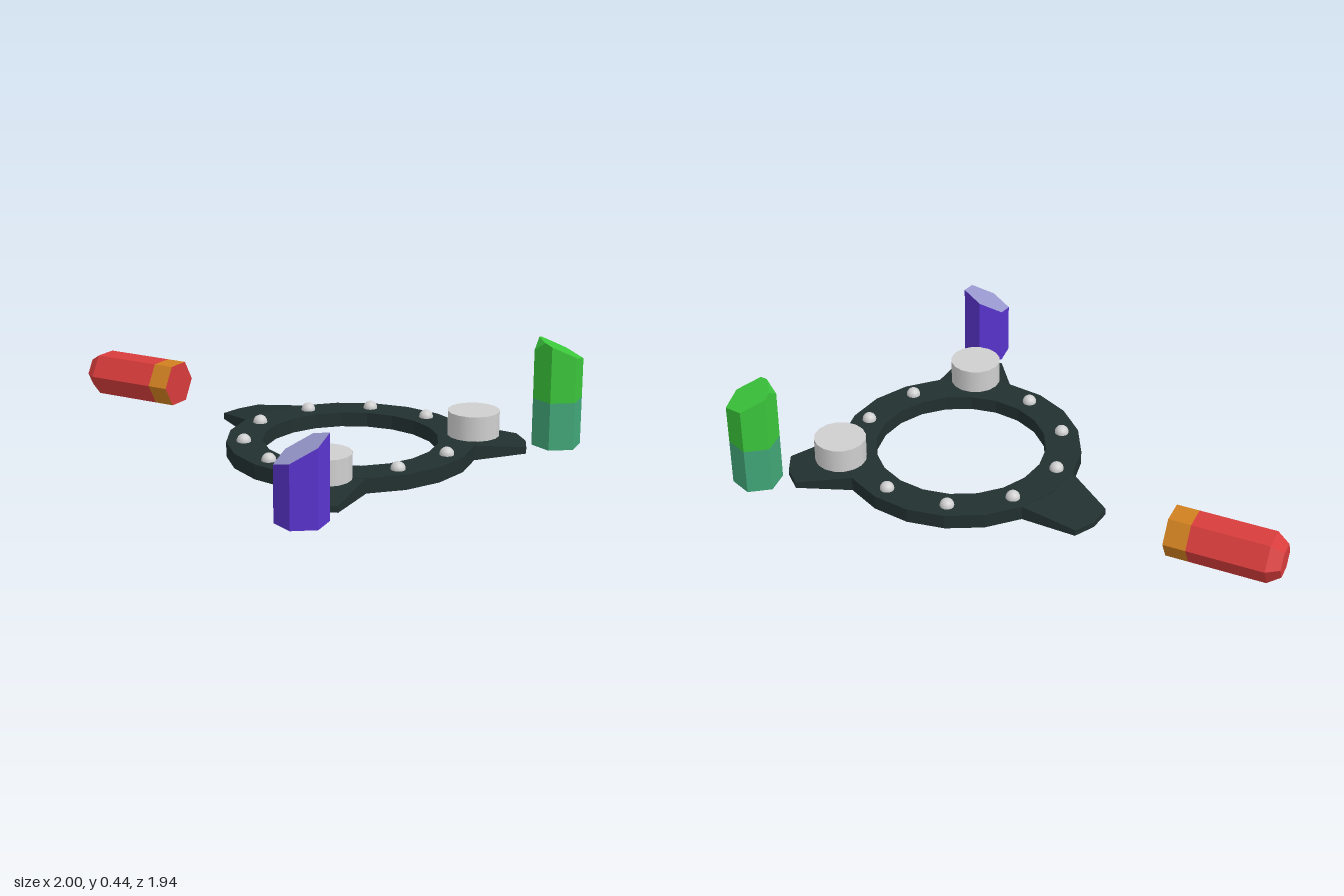
import * as THREE from 'three';

const paint = (name, color) => {
  const m = new THREE.MeshStandardMaterial({ color });
  m.name = name;
  return m;
};

// Gives a geometry hard facets
const facet = (geometry) => {
  const g = geometry.index ? geometry.toNonIndexed() : geometry;
  g.computeVertexNormals();
  return g;
};

// Upright prism over a convex [x, z] outline, with a top height given by a rule.
// Groups: 0 sides, 1 top, 2 bottom.
function prism(outline, bottom, topAt) {
  const lo = outline.map(([x, z]) => [x, bottom, z]);
  const hi = outline.map(([x, z]) => [x, topAt(x, z), z]);
  const n = outline.length;
  const sides = [], top = [], base = [];
  for (let i = 0; i < n; i++) {
    const j = (i + 1) % n;
    sides.push(...lo[i], ...lo[j], ...hi[j], ...lo[i], ...hi[j], ...hi[i]);
    if (i > 0 && j > 0) {
      top.push(...hi[0], ...hi[i], ...hi[j]);
      base.push(...lo[0], ...lo[j], ...lo[i]);
    }
  }
  const g = new THREE.BufferGeometry();
  g.setAttribute('position', new THREE.Float32BufferAttribute([...sides, ...top, ...base], 3));
  g.addGroup(0, sides.length / 3, 0);
  g.addGroup(sides.length / 3, top.length / 3, 1);
  g.addGroup((sides.length + top.length) / 3, base.length / 3, 2);
  g.computeVertexNormals();
  return g;
}

const polygon = (r, n) => Array.from({ length: n }, (_, i) => {
  const a = (i / n) * Math.PI * 2;
  return new THREE.Vector2(r * Math.cos(a), r * Math.sin(a));
});

export function createModel() {
  const dark = paint('dark plate', 0x223030);
  const silver = paint('silver', 0xcfcfcf);
  const purple = paint('purple', 0x5a35d0);
  const lilac = paint('lilac', 0x9a9ad0);
  const green = paint('green', 0x3cc83c);
  const teal = paint('teal', 0x42a878);
  const red = paint('red', 0xd83c3c);
  const orange = paint('orange', 0xd08020);

  const model = new THREE.Group();
  const add = (parent, name, geometry, material, x = 0, y = 0, z = 0) => {
    const mesh = new THREE.Mesh(geometry, material);
    mesh.name = name;
    mesh.position.set(x, y, z);
    parent.add(mesh);
    return mesh;
  };
  const addGroup = (name, x, y, z) => {
    const group = new THREE.Group();
    group.name = name;
    group.position.set(x, y, z);
    model.add(group);
    return group;
  };
  const deg = Math.PI / 180;

  // Flat twenty-sided ring
  const base = addGroup('ringBase', 0.065, 0, 0.097);
  const ringShape = new THREE.Shape(polygon(0.495, 20));
  ringShape.holes.push(new THREE.Path(polygon(0.35, 20)));
  const ring = new THREE.ExtrudeGeometry(ringShape, { depth: 0.06, bevelEnabled: false });
  ring.rotateX(-Math.PI / 2);
  add(base, 'ring', facet(ring), dark);

  // Three tapering arms
  const armOutline = [[0.47, 0.153], [0.692, 0.093], [0.71, 0], [0.692, -0.093], [0.47, -0.153]];
  const armGeometry = prism(armOutline, 0, (x) => 0.06 - (x - 0.47) * 0.15);
  for (const angle of [0, 126, 252]) {
    add(base, 'arm', armGeometry, [dark, dark, dark]).rotation.y = angle * deg;
  }

  // Two round pegs, with domed studs at the other steps around the ring
  const peg = new THREE.CylinderGeometry(0.105, 0.105, 0.1, 16);
  const stud = new THREE.SphereGeometry(0.029, 16, 12);
  for (let i = 0; i < 10; i++) {
    const a = i * 36 * deg;
    const isPeg = i === 0 || i === 7;
    const r = isPeg ? 0.495 : 0.425;
    add(base, isPeg ? 'peg' : 'stud', isPeg ? peg : stud, silver,
      r * Math.cos(a), isPeg ? 0.11 : 0.062, -r * Math.sin(a));
  }

  // Purple crystal with a slanted top
  const hexagon = polygon(0.1, 6).map((p) => [p.x, -p.y]);
  add(model, 'purpleCrystal', prism(hexagon, 0.005, (x) => 0.277 + x * 0.55),
    [purple, lilac, purple], -0.2, 0, 0.877);

  // Green crystal: teal foot, green upper part with a chamfered slanted top
  const greenCrystal = addGroup('greenCrystal', 0.9, 0, 0.092);
  add(greenCrystal, 'greenCrystalFoot', prism(hexagon, 0.005, () => 0.2), [teal, teal, green]);
  const ridged = [[-0.07, -0.052], [-0.1, 0], [-0.07, 0.052], [-0.05, 0.0866],
    [0.05, 0.0866], [0.1, 0], [0.05, -0.0866], [-0.05, -0.0866]];
  const slant = (x) => Math.min(0.44 - 0.47 * (x + 0.07), 0.4 + 1.33 * (x + 0.1));
  add(greenCrystal, 'greenCrystalTop', prism(ridged, 0.2, slant), [green, green, green]);

  // Red crystal lying on its side, with an orange band and a blunt tip
  const redCrystal = addGroup('redCrystal', -0.602, 0.09, -0.665);
  redCrystal.rotation.y = -0.625;
  const section = (name, from, to, rTip, material, open) => {
    const g = new THREE.CylinderGeometry(rTip, 0.1, to - from, 6, 1, open);
    g.rotateZ(Math.PI / 2);
    const groups = g.groups.slice();
    const flat = facet(g);
    flat.clearGroups();
    groups.forEach((s) => flat.addGroup(s.start, s.count, s.materialIndex));
    add(redCrystal, name, flat, material, -(from + to) / 2, 0, 0);
  };
  section('redCrystalBand', 0, 0.09, 0.1, [orange, orange, red], false);
  section('redCrystalBody', 0.09, 0.395, 0.1, red, true);
  section('redCrystalTip', 0.395, 0.445, 0.065, red, false);

  return model;
}
